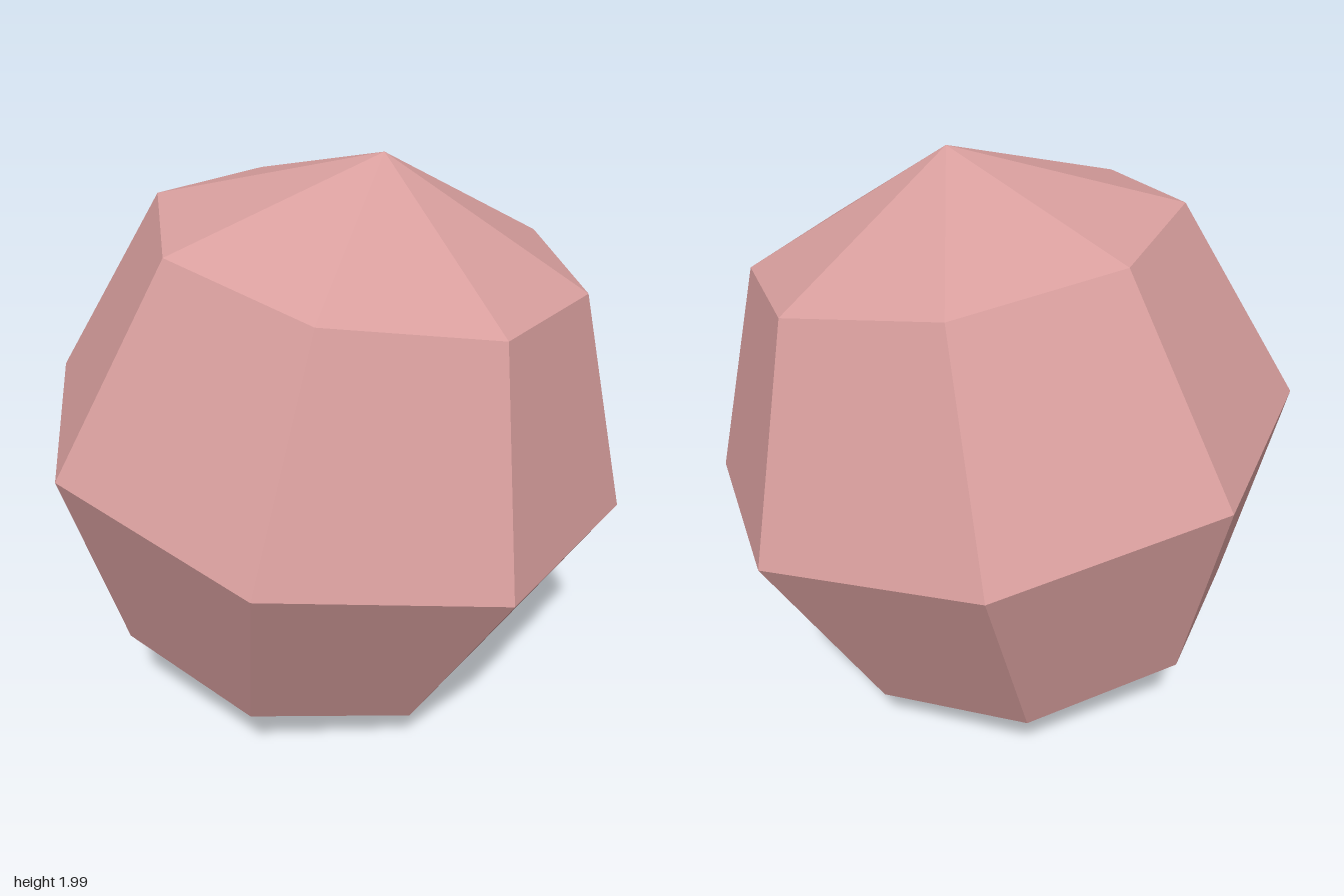
import * as THREE from 'three';

export function createModel() {
  const group = new THREE.Group();
  group.name = 'facetedBoulder';

  const rosePink = new THREE.MeshStandardMaterial({ color: 0xd99f9e });
  rosePink.name = 'rosePink';

  // Tilted frame: up runs through the poles, ahead through an equator corner
  const up = new THREE.Vector3(0.17, 1, -0.012).normalize();
  const side = new THREE.Vector3().crossVectors(up, new THREE.Vector3(0.22, -0.025, 0.985)).normalize();
  const ahead = new THREE.Vector3().crossVectors(side, up);

  // Low-poly ball: eight sides, four bands, one flat normal per facet
  const geometry = new THREE.SphereGeometry(1.011, 8, 4).toNonIndexed();
  geometry.applyMatrix4(new THREE.Matrix4().makeBasis(side, up, ahead));
  geometry.translate(0, 1, 0);
  geometry.computeVertexNormals();

  const ball = new THREE.Mesh(geometry, rosePink);
  ball.name = 'facetedBall';
  group.add(ball);
  return group;
}
